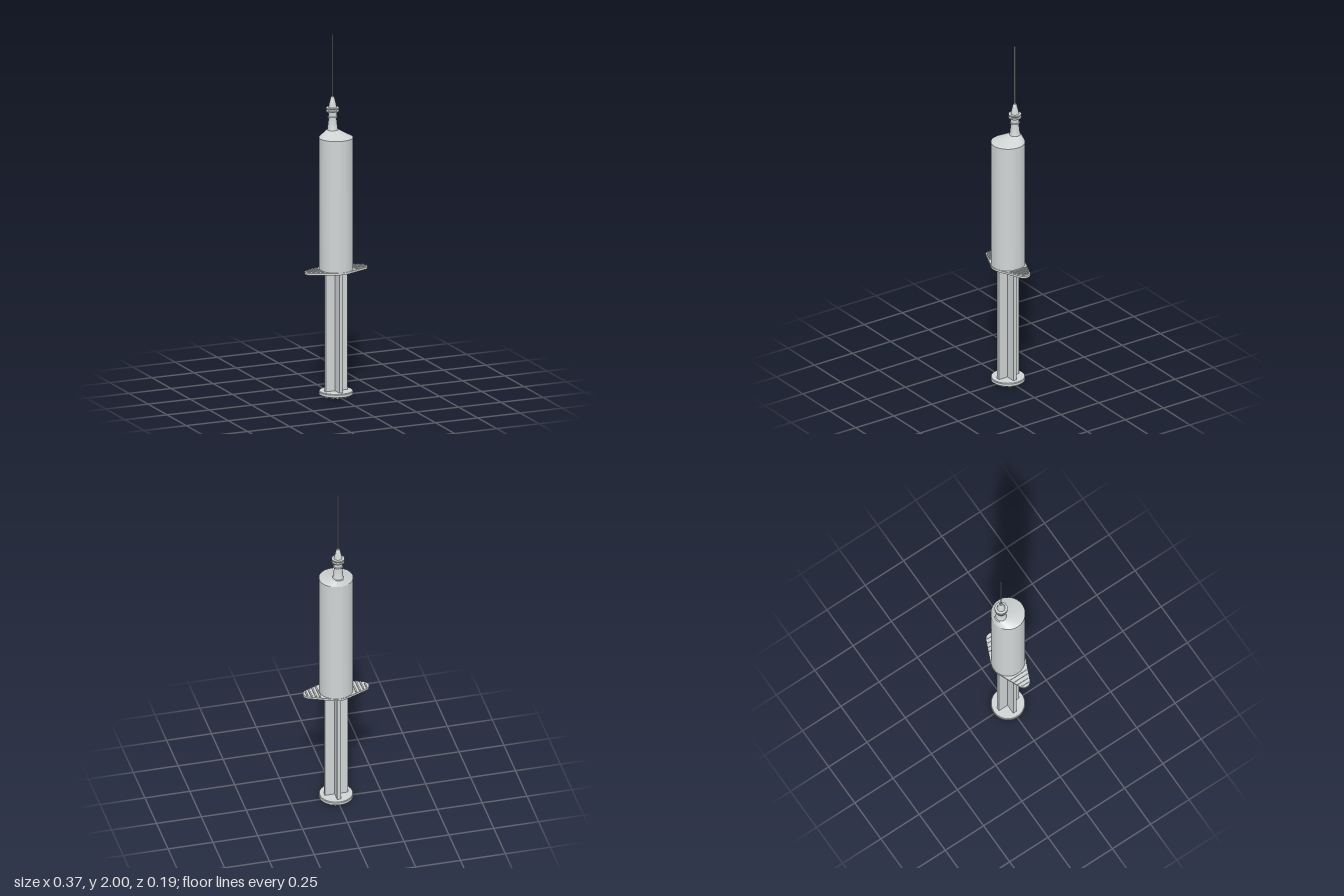
import * as THREE from 'three';
import { toCreasedNormals } from 'three/addons/utils/BufferGeometryUtils.js';

const R = 0.093;        // barrel radius
const TIP_Z = -0.045;   // offset of nozzle and needle

export function createModel() {
  const model = new THREE.Group();
  const plastic = new THREE.MeshStandardMaterial({ color: 0xd0d4d5 });
  plastic.name = 'pale grey plastic';

  const add = (name, geo, x = 0, y = 0, z = 0, parent = model) => {
    const mesh = new THREE.Mesh(geo, plastic);
    mesh.name = name;
    mesh.position.set(x, y, z);
    parent.add(mesh);
    return mesh;
  };
  const group = (name) => {
    const g = new THREE.Group();
    g.name = name;
    model.add(g);
    return g;
  };
  // Turned part with sharp edges where the profile bends strongly
  const turned = (pts, sides = 64) => toCreasedNormals(
    new THREE.LatheGeometry(pts.map(([r, y]) => new THREE.Vector2(r, y)), sides), 0.5);
  // Flat outline in x/z given a height
  const slab = (shape, height) => {
    const g = new THREE.ExtrudeGeometry(shape, { depth: height, bevelEnabled: false, curveSegments: 24 });
    return toCreasedNormals(g.rotateX(-Math.PI / 2), 0.5);
  };
  // Rounded rib running along z
  const rib = (halfLength, halfWidth, height) => {
    const s = new THREE.Shape();
    const l = halfLength - halfWidth;
    s.absarc(0, l, halfWidth, 0, Math.PI);
    s.absarc(0, -l, halfWidth, Math.PI, Math.PI * 2);
    s.closePath();
    return slab(s, height);
  };

  // Hollow barrel, open at the bottom
  add('barrel', turned([[0, 1.4], [0.083, 1.4], [0.083, 0.695], [R, 0.695], [R, 1.44]], 72));

  // Slanted shoulder leading to the off-centre nozzle
  const shoulder = new THREE.CylinderGeometry(0.036, R, 0.03, 72, 1, true);
  const p = shoulder.attributes.position;
  for (let i = 0; i < p.count; i++) if (p.getY(i) > 0) p.setZ(i, p.getZ(i) + TIP_Z);
  add('shoulder', toCreasedNormals(shoulder, 0.5), 0, 1.455, 0);

  // Nozzle, needle hub with collars, and needle
  add('nozzle', turned([[0.036, 1.47], [0.03, 1.472], [0.028, 1.478], [0.021, 1.54], [0.021, 1.56]], 40), 0, 0, TIP_Z);
  add('needleHub', turned([
    [0.019, 1.54], [0.027, 1.54], [0.027, 1.545], [0.023, 1.547], [0.023, 1.572],
    [0.035, 1.573], [0.035, 1.58], [0.025, 1.581], [0.025, 1.588],
    [0.035, 1.589], [0.035, 1.596], [0.022, 1.597], [0.02, 1.61],
    [0.011, 1.65], [0.008, 1.656], [0, 1.657],
  ], 40), 0, 0, TIP_Z);
  add('needle', new THREE.CylinderGeometry(0.0035, 0.0035, 0.36, 16), 0, 1.82, TIP_Z);

  // Finger flange: large middle arc joined to small end arcs by tangents
  const endX = 0.148, endR = 0.036, midR = 0.095;
  const a = Math.acos((midR - endR) / endX);
  const outline = new THREE.Shape();
  outline.absarc(endX, 0, endR, -a, a);
  outline.absarc(0, 0, midR, a, Math.PI - a);
  outline.absarc(-endX, 0, endR, Math.PI - a, Math.PI + a);
  outline.absarc(0, 0, midR, Math.PI + a, Math.PI * 2 - a);
  outline.closePath();
  const hole = new THREE.Path();
  hole.absarc(0, 0, 0.083, 0, Math.PI * 2, true);
  outline.holes.push(hole);
  const flange = group('fingerFlange');
  add('flangePlate', slab(outline, 0.012), 0, 0.694, 0, flange);
  [[0.1, 0.056], [0.122, 0.047], [0.144, 0.036], [0.165, 0.023]].forEach(([x, half]) => {
    for (const side of [1, -1]) add('flangeRib', rib(half, 0.004, 0.007), side * x, 0.705, 0, flange);
  });

  // Plunger: crossed fins, seal inside the barrel, thumb disc with ribs below
  const plunger = group('plunger');
  add('plungerFinWide', new THREE.BoxGeometry(0.13, 0.81, 0.02), 0, 0.43, 0, plunger);
  add('plungerFinDeep', new THREE.BoxGeometry(0.02, 0.81, 0.13), 0, 0.43, 0, plunger);
  add('plungerSeal', new THREE.CylinderGeometry(0.082, 0.082, 0.06, 48), 0, 0.865, 0, plunger);
  add('thumbDisc', turned([
    [0, 0.008], [0.088, 0.008], [R, 0.011], [R, 0.025], [0.09, 0.029], [0, 0.029],
  ]), 0, 0, 0, plunger);
  for (let i = -3; i <= 3; i++) {
    const x = i * 0.023;
    add('thumbRib', rib(Math.sqrt(0.083 ** 2 - x * x), 0.005, 0.01), x, 0, 0, plunger);
  }

  // Raised scale on the back; angles run from the rear towards the right side
  const scale = group('scaleMarks');
  const mark = (name, from, to, height, y) => add(name, new THREE.CylinderGeometry(
    R + 0.0008, R + 0.0008, height, 12, 1, true, Math.PI + from, to - from), 0, y, 0, scale);
  for (let i = 0; i <= 20; i++) {
    const major = i % 5 === 0;
    mark('scaleTick', major ? 0.2 : 0.38, 0.66, 0.003, 0.84 + i * 0.0215);
    if (major) mark('scalePad', -0.34, -0.2, 0.012, 0.84 + i * 0.0215);
  }
  return model;
}
